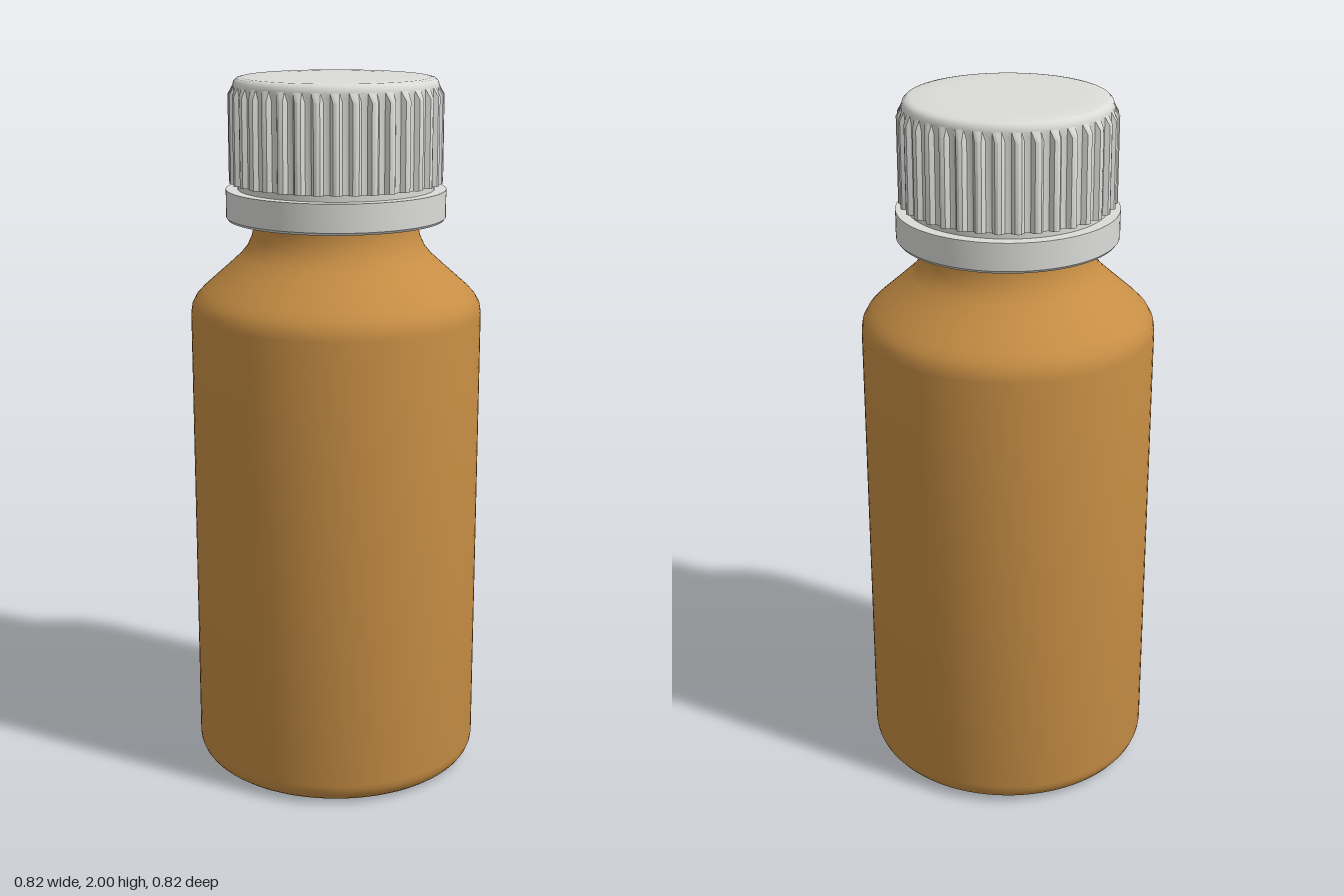
import * as THREE from 'three';
import { toCreasedNormals } from 'three/addons/utils/BufferGeometryUtils.js';

const amber = new THREE.MeshStandardMaterial({ color: 0xc68d44 });
amber.name = 'amber';
const offWhite = new THREE.MeshStandardMaterial({ color: 0xdbdbd8 });
offWhite.name = 'off white';

// Revolve a profile of [radius, height] pairs, listed from the bottom up the outside
function turned(name, profile, material, segments = 96, crease = 0.6) {
  const points = profile.map(([r, y]) => new THREE.Vector2(r, y));
  const geometry = toCreasedNormals(new THREE.LatheGeometry(points, segments), crease);
  const mesh = new THREE.Mesh(geometry, material);
  mesh.name = name;
  return mesh;
}

// Ribbed cap skirt: a lathe whose ribbed rows are pulled in between the ribs
function ribbedSkirt() {
  const ribs = 36, shape = [1, 0.85, 0.12, 0, 0.12, 0.85];
  const rows = [[0.25, 1.71], [0.298, 1.71], [0.298, 1.95], [0.284, 1.975]];
  const segments = ribs * shape.length;
  const geometry = new THREE.LatheGeometry(rows.map(([r, y]) => new THREE.Vector2(r, y)), segments);
  const p = geometry.attributes.position;
  for (let i = 0; i < p.count; i++) {
    const column = Math.floor(i / rows.length), row = i % rows.length;
    if (row !== 1 && row !== 2) continue;
    const scale = (0.282 + 0.016 * shape[column % shape.length]) / 0.298;
    p.setX(i, p.getX(i) * scale);
    p.setZ(i, p.getZ(i) * scale);
  }
  const mesh = new THREE.Mesh(toCreasedNormals(geometry, 0.5), offWhite);
  mesh.name = 'capRibbedSkirt';
  return mesh;
}

export function createModel() {
  const model = new THREE.Group();
  model.name = 'bottle';

  // Glass body with rounded base, sloping shoulder, neck and neck bead
  const body = [[0, 0.004], [0.34, 0.004], [0.35, 0]];
  for (let i = 1; i <= 6; i++) {
    const a = (i / 6) * Math.PI / 2;
    body.push([0.35 + 0.06 * Math.sin(a), 0.06 - 0.06 * Math.cos(a)]);
  }
  body.push(
    [0.41, 1.345], [0.406, 1.37], [0.394, 1.392], [0.375, 1.412],
    [0.34, 1.443], [0.305, 1.474], [0.27, 1.506], [0.25, 1.53],
    [0.236, 1.56], [0.23, 1.59], [0.23, 1.625],
    [0.245, 1.632], [0.26, 1.645], [0.262, 1.665], [0.25, 1.68],
    [0.23, 1.69], [0.23, 1.9], [0, 1.9],
  );
  model.add(turned('glassBody', body, amber));

  // Cap
  const cap = new THREE.Group();
  cap.name = 'cap';
  cap.add(ribbedSkirt());
  cap.add(turned('capTop', [
    [0.284, 1.965], [0.284, 1.975], [0.281, 1.986], [0.273, 1.994], [0.26, 1.997],
    [0.2, 1.9985], [0.1, 1.9995], [0, 2],
  ], offWhite));

  // Recessed link between the cap and the seal ring
  cap.add(turned('capLink', [
    [0.264, 1.66], [0.274, 1.66], [0.274, 1.72], [0.264, 1.72], [0.264, 1.66],
  ], offWhite));

  // Tamper seal ring
  cap.add(turned('sealRing', [
    [0.28, 1.608], [0.302, 1.608], [0.307, 1.615], [0.307, 1.692],
    [0.27, 1.692], [0.27, 1.64], [0.28, 1.63], [0.28, 1.608],
  ], offWhite));
  model.add(cap);
  return model;
}
